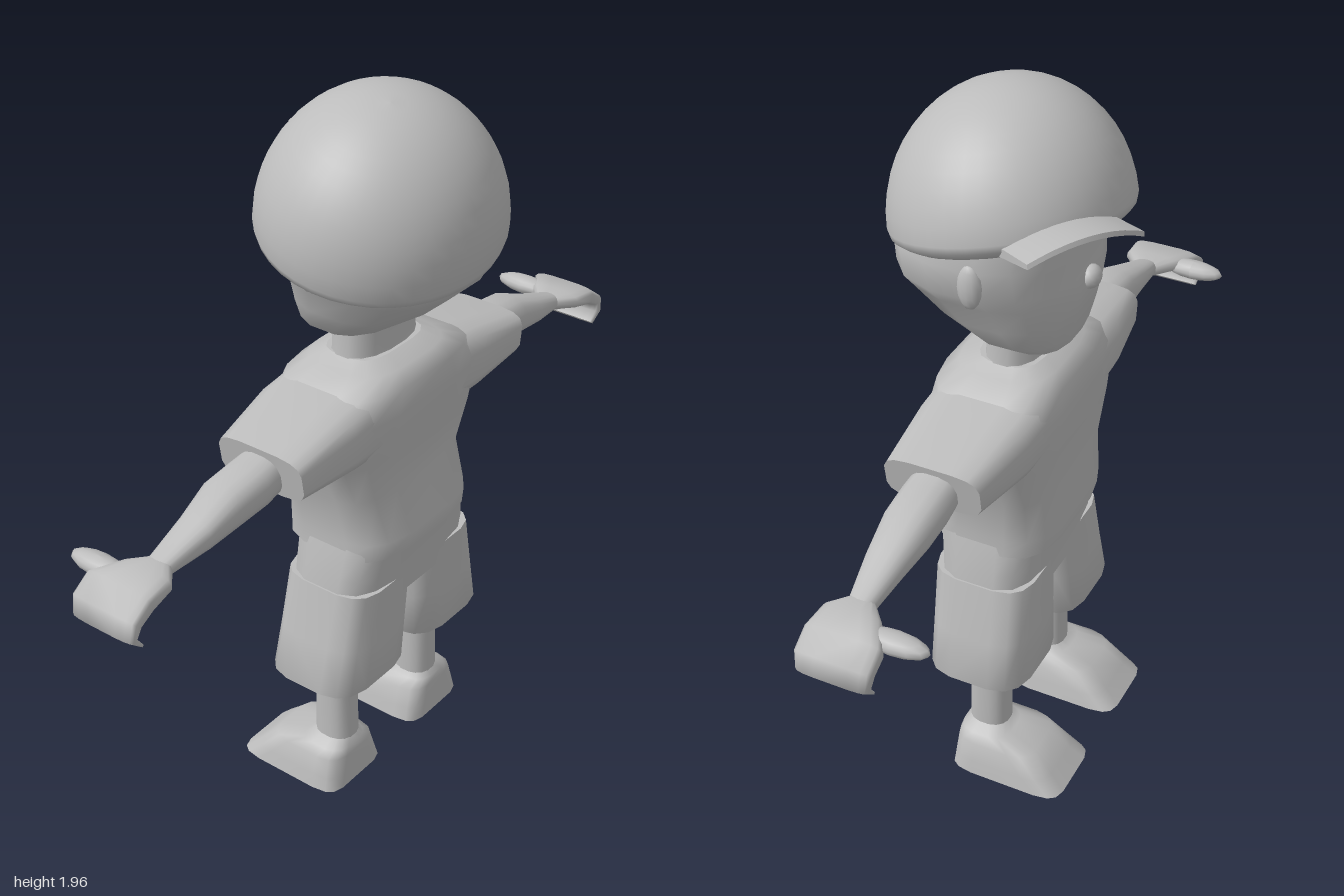
import * as THREE from 'three';

const grey = new THREE.MeshStandardMaterial({ color: 0xbcbcbc });
grey.name = 'plain grey';

const N = 16;
const spow = (v, p) => Math.sign(v) * Math.abs(v) ** (2 / p);

// Rounded-box cross-section in a level plane
function level(y, x0, x1, z0, z1, p = 3) {
  return Array.from({ length: N }, (_, i) => {
    const a = ((i + 0.5) / N) * Math.PI * 2;
    return [(x0 + x1) / 2 + spow(Math.sin(a), p) * (x1 - x0) / 2, y,
      (z0 + z1) / 2 + spow(Math.cos(a), p) * (z1 - z0) / 2];
  });
}

// Cross-section of a limb running along x, turned by phi in the x-y plane
function limb(x, y, half, z0, z1, phi = 0, p = 2.5) {
  return Array.from({ length: N }, (_, i) => {
    const a = ((i + 0.5) / N) * Math.PI * 2;
    const h = half * spow(Math.cos(a), p);
    return [x - Math.sin(phi) * h, y + Math.cos(phi) * h,
      (z0 + z1) / 2 + spow(Math.sin(a), p) * (z1 - z0) / 2];
  });
}

// Skin over a row of cross-sections, with flat end caps
function loft(rings) {
  const pos = rings.flat(2), idx = [];
  for (let r = 0; r < rings.length - 1; r++) {
    for (let i = 0; i < N; i++) {
      const j = (i + 1) % N, a = r * N + i, b = r * N + j;
      idx.push(a, b, b + N, a, b + N, a + N);
    }
  }
  [rings[0], rings[rings.length - 1]].forEach((ring, end) => {
    const base = pos.length / 3;
    pos.push(...ring.flat());
    for (let i = 1; i < N - 1; i++) {
      if (end) idx.push(base, base + i, base + i + 1);
      else idx.push(base, base + i + 1, base + i);
    }
  });
  const g = new THREE.BufferGeometry();
  g.setAttribute('position', new THREE.Float32BufferAttribute(pos, 3));
  g.setIndex(idx);
  g.computeVertexNormals();
  return g;
}

function mirrored(geo) {
  const g = geo.clone().scale(-1, 1, 1), ix = g.index.array;
  for (let i = 0; i < ix.length; i += 3) [ix[i], ix[i + 1]] = [ix[i + 1], ix[i]];
  g.computeVertexNormals();
  return g;
}

function ellipsoid(x, y, z, rx, ry, rz) {
  return new THREE.SphereGeometry(1, 12, 8).scale(rx, ry, rz).translate(x, y, z);
}

export function createModel() {
  const model = new THREE.Group();
  const add = (name, geo, parent = model) => {
    const m = new THREE.Mesh(geo, grey);
    m.name = name;
    parent.add(m);
    return m;
  };
  const pair = (name, geo) => {
    add(name + 'Left', geo);
    add(name + 'Right', mirrored(geo));
  };
  // Centred section: height, half width, front z, back z
  const mid = (p) => ([y, w, zf, zb]) => level(y, -w, w, zf, zb, p);

  // Shirt
  add('shirt', loft([
    [0.76, 0.235, -0.14, 0.2], [0.81, 0.232, -0.145, 0.207], [0.93, 0.24, -0.135, 0.165],
    [1.05, 0.3, -0.14, 0.175], [1.17, 0.31, -0.15, 0.19], [1.235, 0.25, -0.14, 0.185],
    [1.265, 0.17, -0.11, 0.15], [1.285, 0.13, -0.07, 0.1],
  ].map(mid(3.5))));
  pair('sleeve', loft([
    limb(0.12, 1.15, 0.105, -0.14, 0.175, 0, 3.5),
    limb(0.27, 1.143, 0.093, -0.135, 0.175, -0.1, 3.5),
    limb(0.465, 1.13, 0.062, -0.1, 0.16, -0.15, 4),
  ]));

  // Shorts
  add('shortsSeat', loft([
    [0.6, 0.268, -0.105, 0.17], [0.7, 0.253, -0.105, 0.18], [0.8, 0.23, -0.11, 0.195],
  ].map(mid(3.5))));
  pair('shortsLeg', loft([
    level(0.355, 0.06, 0.29, -0.08, 0.13),
    level(0.368, 0.018, 0.328, -0.12, 0.17, 3.5),
    level(0.5, 0.01, 0.298, -0.112, 0.172, 3.5),
    level(0.66, 0, 0.262, -0.105, 0.175, 3.5),
  ]));

  // Legs and wedge-shaped shoes
  pair('leg', loft([
    level(0.08, 0.13, 0.235, -0.03, 0.085, 2.4),
    level(0.4, 0.13, 0.23, -0.03, 0.08, 2.4),
  ]));
  pair('shoe', loft([
    level(0, 0.065, 0.308, -0.232, 0.105, 6),
    level(0.04, 0.075, 0.3, -0.19, 0.103, 5),
    level(0.095, 0.09, 0.287, -0.135, 0.1, 4),
    level(0.115, 0.12, 0.265, -0.05, 0.095, 3),
    level(0.135, 0.135, 0.23, -0.025, 0.08, 2.5),
  ]));

  // Arms and curled hands
  pair('arm', loft([
    limb(0.42, 1.125, 0.055, -0.035, 0.09), limb(0.51, 1.11, 0.058, -0.04, 0.095),
    limb(0.6, 1.1, 0.056, -0.04, 0.092), limb(0.7, 1.073, 0.04, -0.025, 0.08),
    limb(0.83, 1.043, 0.022, -0.01, 0.055),
  ]));
  pair('hand', loft([
    limb(0.81, 1.043, 0.022, -0.01, 0.055), limb(0.86, 1.043, 0.026, -0.055, 0.1),
    limb(0.93, 1.033, 0.027, -0.095, 0.105, -0.3, 4), limb(0.975, 1.005, 0.022, -0.095, 0.105, -0.9, 4),
    limb(0.986, 0.965, 0.014, -0.09, 0.1, -1.75, 4), limb(0.958, 0.935, 0.006, -0.085, 0.095, -2.4, 4),
  ]));
  pair('thumb', ellipsoid(0.886, 1.033, -0.1, 0.034, 0.026, 0.09));

  // Neck, head, nose and ears
  add('neck', loft([
    [1.25, 0.145, -0.075, 0.105], [1.29, 0.132, -0.06, 0.09], [1.39, 0.13, -0.06, 0.09],
  ].map(mid(2.4))));
  add('head', loft([
    [1.335, 0.13, -0.13, 0.06], [1.37, 0.18, -0.143, 0.12], [1.43, 0.212, -0.158, 0.21],
    [1.5, 0.238, -0.172, 0.29], [1.54, 0.268, -0.163, 0.308], [1.62, 0.278, -0.155, 0.31],
    [1.72, 0.25, -0.15, 0.27],
  ].map(mid(2.5))));
  add('nose', ellipsoid(0, 1.515, -0.165, 0.035, 0.03, 0.026));
  pair('ear', ellipsoid(0.265, 1.58, 0.025, 0.022, 0.06, 0.032));

  // Cap, tilted and turned to one side
  const capBase = new THREE.Group();
  capBase.name = 'cap';
  capBase.position.set(-0.022, 1.64, 0.055);
  capBase.scale.set(1, 1, 0.925);
  model.add(capBase);
  const cap = new THREE.Group();
  cap.name = 'capTilt';
  cap.rotation.set(0.265, -0.65, 0, 'YXZ');
  capBase.add(cap);
  const profile = [[0.22, 0.01], [0.26, -0.025], [0.3, -0.035], [0.32, -0.018]]
    .map(([x, y]) => new THREE.Vector2(x, y));
  for (let i = 0; i <= 12; i++) {
    const a = (i / 12) * Math.PI / 2;
    profile.push(new THREE.Vector2(i === 12 ? 0 : 0.325 * Math.cos(a), 0.325 * Math.sin(a)));
  }
  add('capDome', new THREE.LatheGeometry(profile, 40), cap);

  // Arched visor with a rounded front edge
  const visor = new THREE.BoxGeometry(0.31, 0.018, 1, 10, 1, 4);
  const p = visor.attributes.position;
  for (let i = 0; i < p.count; i++) {
    const t = 0.5 - p.getZ(i), v = p.getX(i) / 0.155;
    const reach = 0.465 - 0.035 * v * v;
    p.setZ(i, -(0.24 + t * (reach - 0.24)));
    p.setY(i, p.getY(i) * (1.4 - 0.7 * t) + 0.015 - 0.035 * v * v);
  }
  visor.computeVertexNormals();
  add('visor', visor, cap);

  return model;
}
